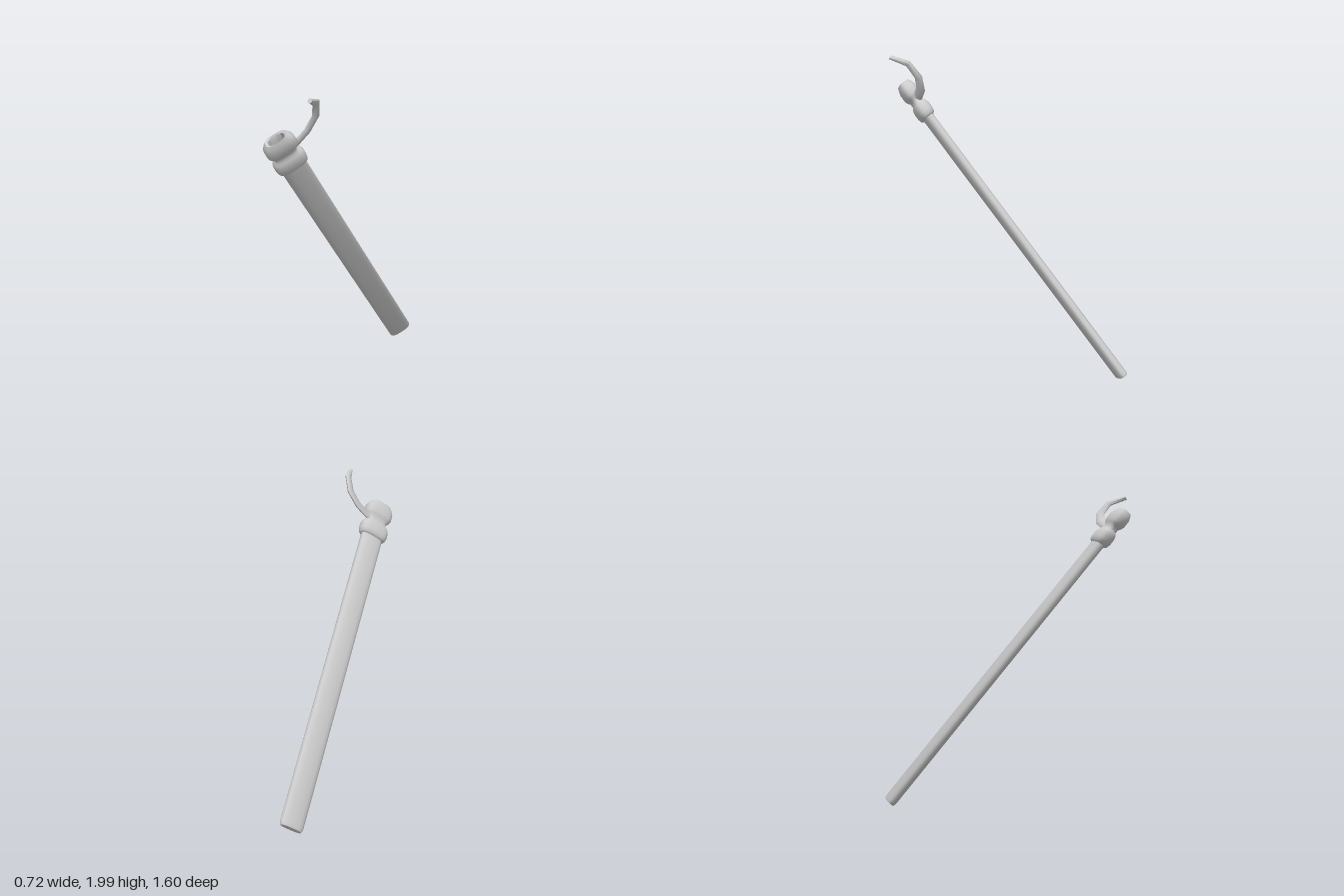
import * as THREE from 'three';
import { toCreasedNormals } from 'three/addons/utils/BufferGeometryUtils.js';

const V = (x, y, z) => new THREE.Vector3(x, y, z);
const grey = new THREE.MeshStandardMaterial({ color: 0xcccccc });

// Skin over rounded-rectangle rings { c, u, v, a, b }, with u x v along the path; ends capped.
function loft(rings, sides, power, crease) {
  const pos = [], index = [];
  const soft = (w) => Math.sign(w) * Math.pow(Math.abs(w), power);
  for (const { c, u, v, a, b } of rings) {
    for (let i = 0; i < sides; i++) {
      const ang = (i / sides) * Math.PI * 2;
      const p = c.clone()
        .addScaledVector(u, a * soft(Math.cos(ang)))
        .addScaledVector(v, b * soft(Math.sin(ang)));
      pos.push(p.x, p.y, p.z);
    }
  }
  const last = (rings.length - 1) * sides;
  for (let r = 0; r < last; r += sides) {
    for (let i = 0; i < sides; i++) {
      const j = (i + 1) % sides;
      index.push(r + i, r + j, r + sides + j, r + i, r + sides + j, r + sides + i);
    }
  }
  for (let i = 1; i < sides - 1; i++) {
    index.push(0, i + 1, i, last, last + i, last + i + 1);
  }
  const geo = new THREE.BufferGeometry();
  geo.setAttribute('position', new THREE.Float32BufferAttribute(pos, 3));
  geo.setIndex(index);
  return toCreasedNormals(geo, crease);
}

function part(name, geometry) {
  const mesh = new THREE.Mesh(geometry, grey);
  mesh.name = name;
  return mesh;
}

// Rings stacked on the local y axis: [height, half thickness, half width]
const stack = (rows) => rows.map(([t, a, b]) => ({
  c: V(0, t, 0), u: V(1, 0, 0), v: V(0, 0, -1), a, b,
}));

export function createModel() {
  const model = new THREE.Group();

  // Leaning frame: y along the shaft, x through its thickness, z across its width
  const along = V(0.21, 0.736, 0.643).normalize();
  const flat = V(1, 0, 0).addScaledVector(along, -along.x).normalize();
  flat.applyAxisAngle(along, THREE.MathUtils.degToRad(-27));
  if (flat.y > 0) flat.applyAxisAngle(along, THREE.MathUtils.degToRad(54));
  const across = flat.clone().cross(along);
  const leaning = new THREE.Group();
  leaning.name = 'leaningBody';
  leaning.quaternion.setFromRotationMatrix(new THREE.Matrix4().makeBasis(flat, along, across));
  leaning.position.set(-0.32, 0.055, -0.735);
  model.add(leaning);

  // Long flattened shaft with a slightly rounded foot
  leaning.add(part('shaft', loft(stack([
    [-0.005, 0.024, 0.07], [0.012, 0.031, 0.078], [2.08, 0.031, 0.079],
  ]), 16, 0.75, 0.7)));

  // Collar, neck and flared mouth with a recessed slot
  leaning.add(part('collarAndMouth', loft(stack([
    [2.05, 0.036, 0.082], [2.06, 0.046, 0.094], [2.085, 0.051, 0.101],
    [2.125, 0.051, 0.101], [2.15, 0.043, 0.092], [2.165, 0.034, 0.074],
    [2.19, 0.034, 0.074], [2.205, 0.044, 0.09], [2.225, 0.051, 0.099],
    [2.275, 0.051, 0.097], [2.3, 0.044, 0.083], [2.318, 0.037, 0.068],
    [2.31, 0.027, 0.053], [2.23, 0.025, 0.05],
  ]), 20, 0.65, 0.9)));

  // Flat curved hook rising from the neck: centre and half width
  const path = [
    [V(0.150, 1.675, 0.645), 0.03], [V(0.172, 1.72, 0.603), 0.03],
    [V(0.197, 1.78, 0.55), 0.031], [V(0.237, 1.868, 0.52), 0.031],
    [V(0.285, 1.955, 0.557), 0.026], [V(0.345, 1.988, 0.655), 0.012],
  ];
  const normal = V(0.84, -0.49, -0.21).normalize();
  const hookRings = path.map(([c, b], i) => {
    const before = path[Math.max(i - 1, 0)][0];
    const after = path[Math.min(i + 1, path.length - 1)][0];
    const tangent = after.clone().sub(before).normalize();
    return { c, u: normal, v: tangent.cross(normal).normalize(), a: 0.014, b };
  });
  model.add(part('hook', loft(hookRings, 8, 0.9, 0.8)));

  return model;
}
